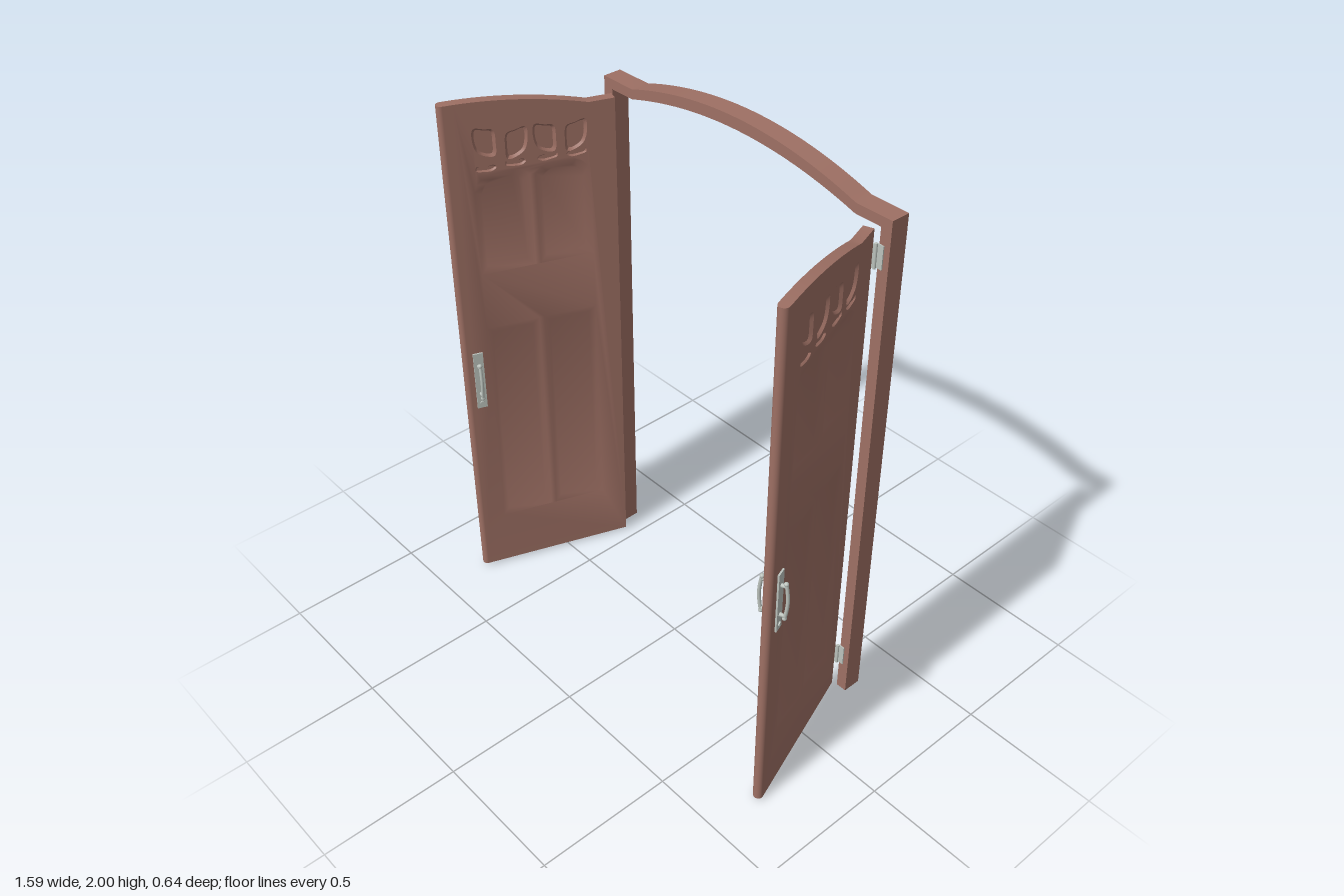
import * as THREE from 'three';
import { mergeGeometries, toCreasedNormals } from 'three/addons/utils/BufferGeometryUtils.js';

const wood = new THREE.MeshStandardMaterial({ color: 0x9e7064 });
wood.name = 'reddish wood';
const metal = new THREE.MeshStandardMaterial({ color: 0xbcc3bd });
metal.name = 'pale metal';

const T = 0.0175;      // half thickness of a door leaf
const LENGTH = 0.588;  // hinge edge to free edge
const MID = 0.2925;    // centre of the panelling
const V = (x, y) => new THREE.Vector2(x, y);

function mesh(name, geometry, material, x = 0, y = 0, z = 0) {
  const m = new THREE.Mesh(geometry, material);
  m.name = name;
  m.position.set(x, y, z);
  return m;
}

// Band of faces between two matching loops at depths za and zb
function band(a, za, b, zb) {
  const pos = [];
  a.forEach((p, i) => {
    const j = (i + 1) % a.length, q = a[j], r = b[j], s = b[i];
    pos.push(p.x, p.y, za, q.x, q.y, za, r.x, r.y, zb);
    pos.push(p.x, p.y, za, r.x, r.y, zb, s.x, s.y, zb);
  });
  const g = new THREE.BufferGeometry();
  g.setAttribute('position', new THREE.Float32BufferAttribute(pos, 3));
  g.computeVertexNormals();
  return g;
}

// Flat face with optional holes
function face(loop, z, holes = []) {
  const shape = new THREE.Shape(loop);
  shape.holes = holes.map((h) => new THREE.Path(h));
  const g = new THREE.ShapeGeometry(shape).toNonIndexed();
  g.deleteAttribute('uv');
  return g.translate(0, 0, z);
}

// Shrink a loop by a margin on each side of its bounding box
function inset(loop, margin) {
  const box = new THREE.Box2().setFromPoints(loop);
  const c = box.getCenter(V(0, 0)), s = box.getSize(V(0, 0));
  return loop.map((p) => V(
    c.x + (p.x - c.x) * (1 - 2 * margin / s.x),
    c.y + (p.y - c.y) * (1 - 2 * margin / s.y)));
}

// Copy reflected in depth, with the corner order restored
function mirrorDepth(g) {
  const m = g.clone(), p = m.attributes.position;
  for (let i = 0; i < p.count; i += 3) {
    for (const [to, from] of [[0, 0], [1, 2], [2, 1]]) {
      const s = g.attributes.position;
      p.setXYZ(i + to, s.getX(i + from), s.getY(i + from), -s.getZ(i + from));
    }
  }
  m.computeVertexNormals();
  return m;
}

// Place loop points on one half of the panelling (side -1 is the hinge half)
function place(points, side, cx = 0, cy = 0) {
  const loop = points.map(([x, y]) => V(MID + side * (cx + x), cy + y));
  return THREE.ShapeUtils.isClockWise(loop) ? loop.reverse() : loop;
}

function smoothLoop(points, n = 28) {
  const curve = new THREE.CatmullRomCurve3(points.map(([x, y]) => new THREE.Vector3(x, y, 0)), true);
  return curve.getPoints(n).slice(0, n).map((p) => [p.x, p.y]);
}

function doorGeometry() {
  const end = LENGTH - T;
  const outline = [V(0, 0.01), V(end, 0.01)];
  for (let i = 0; i <= 14; i++) {
    const t = i / 14;
    outline.push(V(end + (0.09 - end) * t, 1.95 - 0.07 * t * t));
  }
  outline.push(V(0, 1.88));

  const lower = [[0.009, 0.235], [0.2, 0.235], [0.2, 1.095], [0.009, 1.095]];
  const upper = [[0.009, 1.315], [0.2, 1.315], [0.2, 1.63], [0.192, 1.655], [0.175, 1.672],
    [0.15, 1.685], [0.06, 1.69], [0.03, 1.68], [0.009, 1.66]];
  const petal = smoothLoop([[0.036, 0.05], [0.04, 0], [0.024, -0.038], [-0.03, -0.056],
    [-0.036, -0.01], [-0.03, 0.036], [0, 0.044]]);
  const scroll = smoothLoop([[0.032, 0.012], [0.01, 0.004], [-0.022, 0.012], [-0.036, 0.002],
    [-0.022, -0.01], [0.01, -0.009], [0.034, -0.002]], 20);

  const parts = [];
  for (const side of [-1, 1]) {
    const lift = side > 0 ? 0.015 : -0.015;
    const carvings = [
      [place(lower, side), 0.024, 0.008],
      [place(upper, side), 0.024, 0.008],
      [place(petal, side, 0.152, 1.79 + lift), 0.009, 0.008],
      [place(petal.map(([x, y]) => [-x, y]), side, 0.05, 1.785), 0.009, 0.008],
      [place(scroll, side, 0.055, 1.711), 0.005, 0.006],
      [place(scroll, side, 0.155, 1.708), 0.005, 0.006],
    ];
    parts.push(...carvings);
  }

  // One carved side: pierced face, sloped bevels and sunk fields
  const skin = [face(outline, T, parts.map(([loop]) => loop))];
  for (const [loop, margin, depth] of parts) {
    const inner = inset(loop, margin);
    skin.push(band(loop, T, inner, T - depth), face(inner, T - depth));
  }
  const front = mergeGeometries(skin.map((g) => {
    g.deleteAttribute('normal');
    return g;
  }));
  front.computeVertexNormals();
  const all = mergeGeometries([front, mirrorDepth(front), band(outline, -T, outline, T)]);
  return toCreasedNormals(all, 0.5);
}

// Back plate, bowed grip with feet and a keyhole boss
function handle(side) {
  const g = new THREE.Group();
  g.name = 'handle';
  const plate = new THREE.BoxGeometry(0.036, 0.235, 0.006);
  g.add(mesh('handlePlate', plate, metal, 0, 0.885, 0.003));
  const path = new THREE.CatmullRomCurve3([[0.82, 0.022], [0.85, 0.027], [0.89, 0.03], [0.93, 0.027], [0.96, 0.022]]
    .map(([y, z]) => new THREE.Vector3(0, y, z)));
  g.add(mesh('handleGrip', new THREE.TubeGeometry(path, 16, 0.006, 10), metal));
  for (const y of [0.83, 0.95]) {
    const foot = new THREE.CylinderGeometry(0.005, 0.008, 0.022, 12).rotateX(Math.PI / 2);
    g.add(mesh('handleFoot', foot, metal, 0, y, 0.014));
  }
  for (const y of [0.82, 0.96]) g.add(mesh('handleTip', new THREE.SphereGeometry(0.008, 12, 8), metal, 0, y, 0.022));
  const boss = new THREE.CylinderGeometry(0.008, 0.008, 0.005, 14).rotateX(Math.PI / 2);
  g.add(mesh('keyholeBoss', boss, metal, 0, 0.79, 0.008));
  g.position.set(0.535, 0, side * T);
  if (side < 0) g.rotation.y = Math.PI;
  return g;
}

function createFrame() {
  const pts = [V(0.63, 0), V(0.63, 1.92)];
  const arc = (from, top, drop) => {
    for (let i = 0; i <= 28; i++) {
      const t = from * (1 - i / 14);
      pts.push(V(0.49 * t, top - drop * t * t));
    }
  };
  arc(1, 2, 0.08);
  pts.push(V(-0.63, 1.92), V(-0.63, 0), V(-0.59, 0), V(-0.59, 1.885));
  arc(-1, 1.96, 0.075);
  pts.push(V(0.59, 1.885), V(0.59, 0));
  const g = new THREE.ExtrudeGeometry(new THREE.Shape(pts), { depth: 0.068, bevelEnabled: false });
  return mesh('archedFrame', toCreasedNormals(g, 0.4), wood, 0, 0, -0.32);
}

export function createModel() {
  const model = new THREE.Group();
  model.name = 'archedDoubleDoor';
  model.add(createFrame());

  const leaf = doorGeometry();
  for (const side of [-1, 1]) {
    // Door leaf, swung open about its hinge edge
    const door = new THREE.Group();
    door.name = side > 0 ? 'leftDoor' : 'rightDoor';
    door.add(mesh('doorLeaf', leaf, wood));
    const nose = new THREE.CylinderGeometry(T, T, 1.94, 20);
    door.add(mesh('roundedEdge', nose, wood, LENGTH - T, 0.98, 0));
    door.add(handle(1), handle(-1));
    door.position.set(side * 0.562, 0, -0.232);
    door.rotation.y = -Math.PI / 2 + side * Math.PI / 9;
    model.add(door);

    // Hinges between leaf and post
    for (const y of [0.16, 1.79]) {
      const hinge = new THREE.Group();
      hinge.name = 'hinge';
      hinge.add(mesh('hingePin', new THREE.CylinderGeometry(0.005, 0.005, 0.085, 12), metal, side * 0.585, y, -0.244));
      hinge.add(mesh('hingePostPlate', new THREE.BoxGeometry(0.024, 0.08, 0.004), metal, side * 0.597, y, -0.25));
      const plate = mesh('hingeDoorPlate', new THREE.BoxGeometry(0.03, 0.08, 0.004), metal, side * 0.571, y, -0.2375);
      plate.rotation.y = side * Math.PI / 9;
      hinge.add(plate);
      model.add(hinge);
    }
  }
  return model;
}
